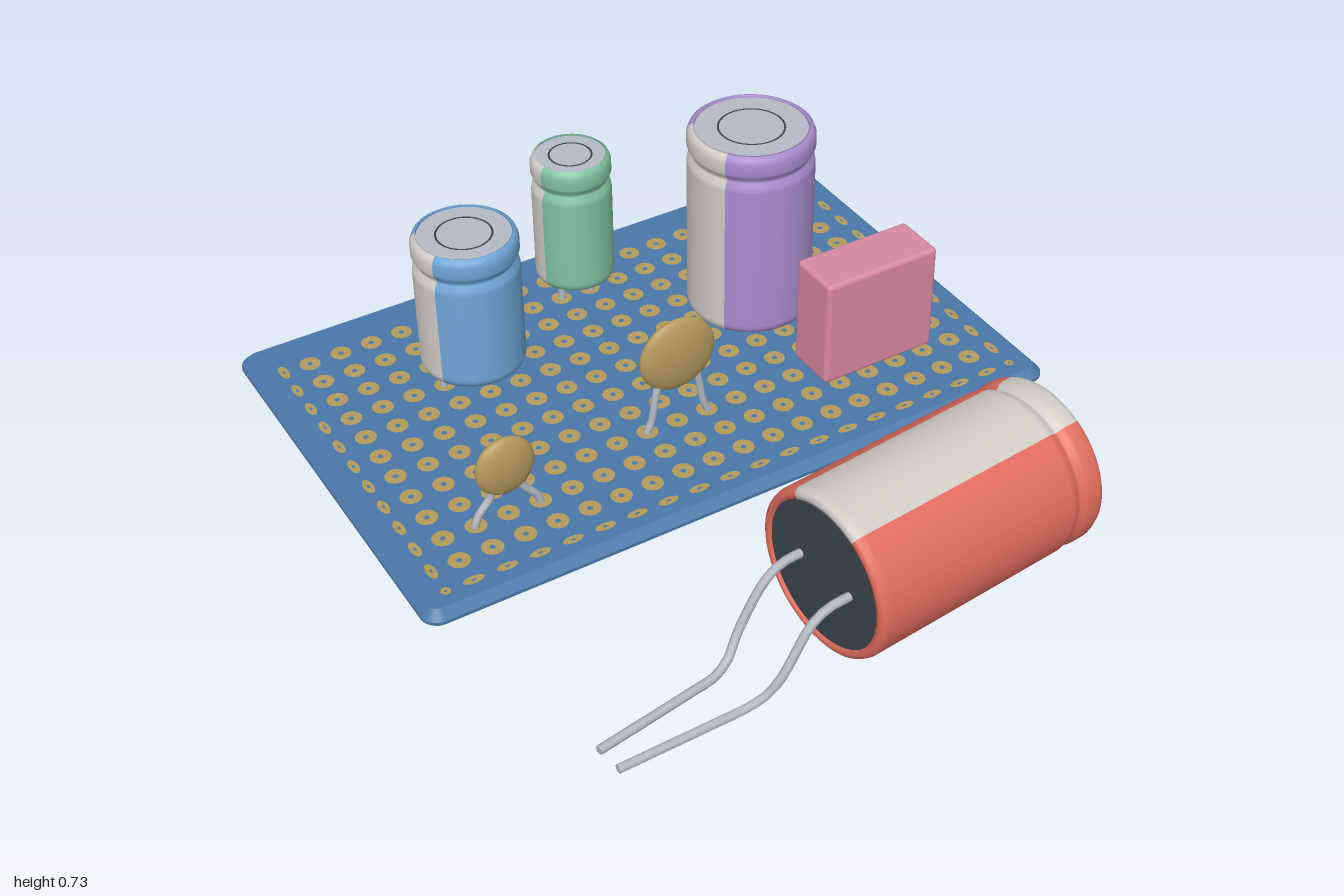
import * as THREE from 'three';
import { mergeGeometries } from 'three/addons/utils/BufferGeometryUtils.js';
import { RoundedBoxGeometry } from 'three/addons/geometries/RoundedBoxGeometry.js';

function material(name, color) {
  const m = new THREE.MeshStandardMaterial({ color });
  m.name = name;
  return m;
}

export function createModel() {
  const mats = {
    board: material('boardBlue', 0x4a78a8),
    gold: material('gold', 0xb39a5c),
    red: material('sleeveRed', 0xe06c5e),
    purple: material('sleevePurple', 0xa78cce),
    blue: material('sleeveBlue', 0x6ea5d6),
    green: material('sleeveGreen', 0x80c0a0),
    pink: material('filmPink', 0xd988a4),
    stripe: material('stripeGrey', 0xd0ccc6),
    metal: material('metal', 0xb4b9c4),
    dark: material('darkRubber', 0x3c444c),
  };
  const model = new THREE.Group();
  model.name = 'circuitBoardWithCapacitors';

  function add(parent, name, geometry, mat, x = 0, y = 0, z = 0) {
    const mesh = new THREE.Mesh(geometry, mat);
    mesh.name = name;
    mesh.position.set(x, y, z);
    parent.add(mesh);
    return mesh;
  }

  function wire(parent, name, points, radius = 0.011) {
    const curve = new THREE.CatmullRomCurve3(points.map(p => new THREE.Vector3(...p)), false, 'centripetal');
    add(parent, name, new THREE.TubeGeometry(curve, 24, radius, 8), mats.metal);
    // close both cut ends
    for (const t of [0, 1]) {
      const cap = add(parent, name + 'End', new THREE.CircleGeometry(radius, 8), mats.metal);
      const p = curve.getPoint(t), dir = curve.getTangent(t).multiplyScalar(t ? 1 : -1);
      cap.position.copy(p);
      cap.lookAt(p.clone().add(dir));
    }
  }

  // Board with bevelled edges all round
  const bevel = 0.025, hx = 0.985 - bevel, hz = 0.64 - bevel, r = 0.025;
  const outline = new THREE.Shape();
  outline.absarc(hx - r, hz - r, r, 0, Math.PI / 2);
  outline.absarc(-hx + r, hz - r, r, Math.PI / 2, Math.PI);
  outline.absarc(-hx + r, -hz + r, r, Math.PI, Math.PI * 1.5);
  outline.absarc(hx - r, -hz + r, r, Math.PI * 1.5, Math.PI * 2);
  const boardGeo = new THREE.ExtrudeGeometry(outline, {
    depth: 0.01, bevelEnabled: true, bevelSize: bevel, bevelThickness: bevel, bevelSegments: 1, curveSegments: 5,
  });
  boardGeo.rotateX(-Math.PI / 2);
  add(model, 'board', boardGeo, mats.board, 0, 0.06 + bevel, -0.36);

  // Solder pads on both faces, narrowed along the two sides and the front
  const pads = [];
  for (let i = -1; i <= 18; i++) {
    for (let j = 0; j <= 11; j++) {
      const side = i < 0 || i > 17, front = j === 11;
      const x = i < 0 ? -0.9 : i > 17 ? 0.9 : -0.82 + i * 0.0964;
      const z = front ? 0.207 : -0.842 + j * 0.0965;
      for (const up of [1, -1]) {
        const pad = new THREE.RingGeometry(0.008, 0.031, 12);
        pad.rotateX(-up * Math.PI / 2);
        pad.scale(side ? 0.45 : 1, 1, front ? 0.45 : 1);
        pad.translate(x, 0.09 + up * 0.0315, z);
        pads.push(pad);
      }
    }
  }
  add(model, 'solderPads', mergeGeometries(pads), mats.gold);

  // Solder cone and trimmed pin below the board
  function solder(x, z) {
    add(model, 'solderCone', new THREE.CylinderGeometry(0.027, 0.008, 0.05, 12), mats.metal, x, 0.035, z);
  }

  // Can capacitor standing on y = 0 of its group; stripe faces -x
  function canCapacitor(name, R, H, mat, half = 0.55, turn = 0) {
    const g = new THREE.Group();
    g.name = name;
    const lip = R * 0.88;
    const profile = [
      [lip, 0.012], [lip, 0.002], [R - 0.016, 0], [R - 0.005, 0.006], [R, 0.02], [R, 0.03],
      [R, H - 0.115], [R - 0.003, H - 0.1], [R - 0.013, H - 0.085], [R - 0.014, H - 0.078],
      [R - 0.005, H - 0.066], [R, H - 0.055], [R, H - 0.022], [R - 0.006, H - 0.007],
      [R - 0.016, H], [lip, H], [lip, H - 0.01],
    ].map(p => new THREE.Vector2(...p));
    const mid = Math.PI * 1.5 - turn;
    add(g, 'sleeve', new THREE.LatheGeometry(profile, 48, mid + half, Math.PI * 2 - 2 * half), mat);
    add(g, 'polarityStripe', new THREE.LatheGeometry(profile, 14, mid - half, 2 * half), mats.stripe);
    const top = new THREE.CircleGeometry(lip, 40).rotateX(-Math.PI / 2);
    add(g, 'metalTop', top, mats.metal, 0, H - 0.007, 0);
    const ring = new THREE.RingGeometry(R * 0.5, R * 0.5 + 0.006, 40).rotateX(-Math.PI / 2);
    add(g, 'topScore', ring, mats.dark, 0, H - 0.005, 0);
    const base = new THREE.CircleGeometry(lip, 40).rotateX(Math.PI / 2);
    add(g, 'rubberBase', base, mats.dark, 0, 0.009, 0);
    model.add(g);
    return g;
  }

  // Standing can capacitors with their leads
  canCapacitor('purpleCapacitor', 0.185, 0.605, mats.purple, 0.6).position.set(0.432, 0.12, -0.455);
  canCapacitor('blueCapacitor', 0.15, 0.43, mats.blue, 0.5).position.set(-0.435, 0.185, -0.55);
  canCapacitor('greenCapacitor', 0.117, 0.412, mats.green, 0.64, 0.38).position.set(0, 0.208, -0.742);
  for (const s of [-1, 1]) {
    solder(0.432 + s * 0.0975, -0.455);
    solder(-0.437 + s * 0.0975, -0.55);
    solder(s * 0.048, -0.742);
    wire(model, 'blueCapacitorLead', [
      [-0.435 + s * 0.055, 0.2, -0.55], [-0.435 + s * 0.06, 0.178, -0.55],
      [-0.437 + s * 0.092, 0.145, -0.55], [-0.437 + s * 0.0975, 0.09, -0.55]]);
    wire(model, 'greenCapacitorLead', [[s * 0.048, 0.22, -0.742], [s * 0.048, 0.09, -0.742]]);
  }

  // Large capacitor lying in front of the board, stripe upward
  const lying = canCapacitor('redCapacitor', 0.235, 0.755, mats.red, 0.52);
  lying.rotation.set(0, 0.1, -Math.PI / 2);
  lying.position.set(-0.13, 0.24, 0.76);
  wire(model, 'redCapacitorLead', [
    [-0.11, 0.245, 0.667], [-0.19, 0.242, 0.673], [-0.24, 0.215, 0.678], [-0.33, 0.085, 0.69],
    [-0.37, 0.035, 0.712], [-0.42, 0.014, 0.73], [-0.5, 0.013, 0.744], [-0.785, 0.013, 0.79]], 0.0125);
  wire(model, 'redCapacitorLead', [
    [-0.1, 0.24, 0.856], [-0.18, 0.238, 0.863], [-0.23, 0.212, 0.868], [-0.32, 0.085, 0.877],
    [-0.36, 0.035, 0.868], [-0.41, 0.014, 0.861], [-0.5, 0.013, 0.862], [-0.775, 0.013, 0.865]], 0.0125);

  // Ceramic disc capacitors on bent legs
  function discCapacitor(name, x, y, z, rx, ry, rz) {
    const g = new THREE.Group();
    g.name = name;
    model.add(g);
    const body = new THREE.SphereGeometry(1, 32, 20).scale(rx, ry, rz);
    add(g, 'discBody', body, mats.gold, x, y, z);
    for (const s of [-1, 1]) {
      const px = x + s * 0.0965;
      wire(g, 'discLead', [
        [x + s * rx * 0.5, y - ry * 0.7, z], [x + s * rx * 0.58, y - ry * 1.0, z],
        [px - s * 0.012, 0.155, z], [px, 0.125, z], [px, 0.09, z]]);
      solder(px, z);
    }
  }
  discCapacitor('smallDiscCapacitor', -0.63, 0.29, 0.03, 0.086, 0.092, 0.031);
  discCapacitor('largeDiscCapacitor', -0.05, 0.36, -0.066, 0.117, 0.115, 0.033);

  // Box film capacitor
  add(model, 'filmCapacitor', new RoundedBoxGeometry(0.37, 0.34, 0.162, 3, 0.014), mats.pink, 0.576, 0.29, -0.066);
  for (const s of [-1, 1]) solder(0.576 + s * 0.145, -0.066);

  return model;
}
